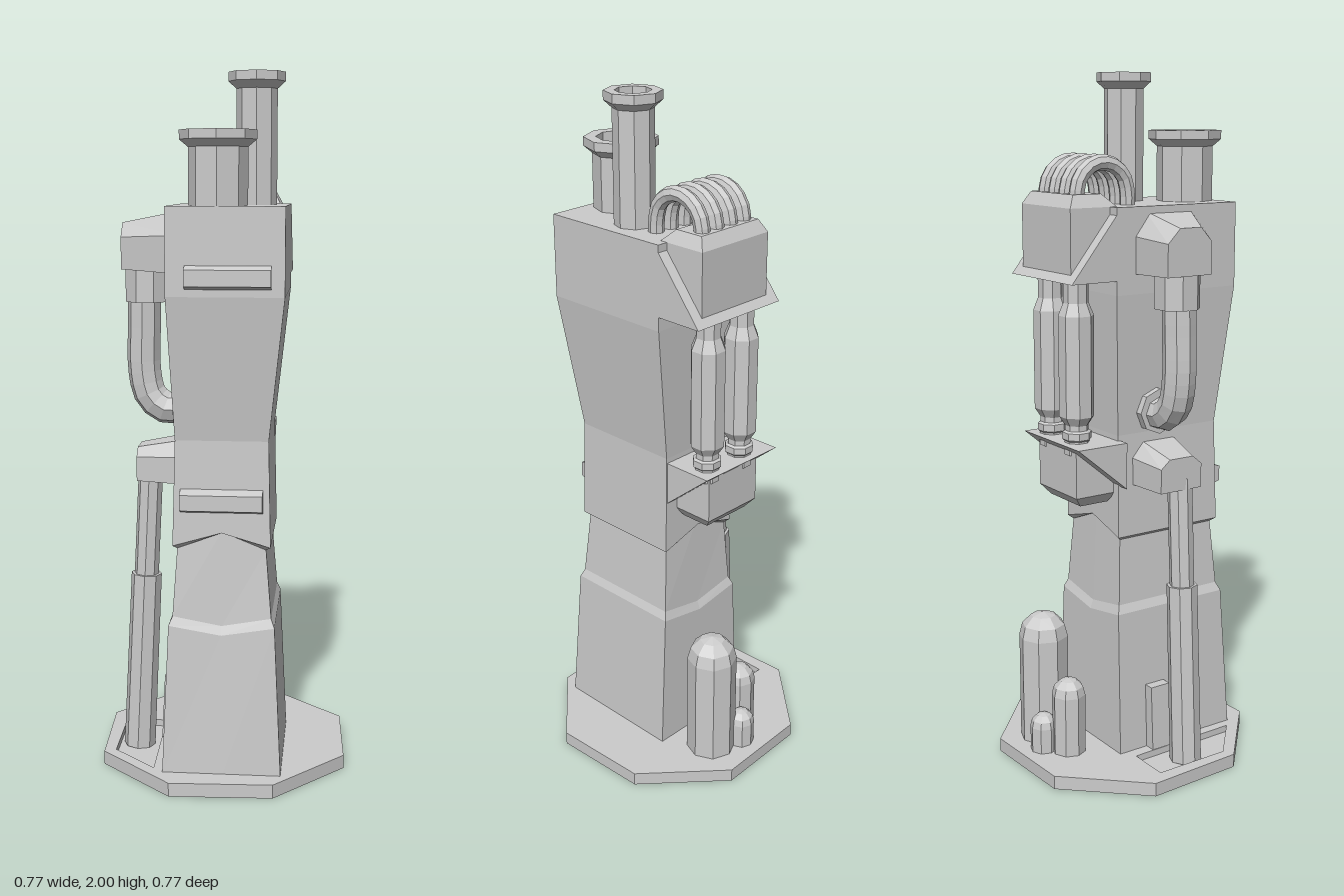
import * as THREE from 'three';

const mat = new THREE.MeshStandardMaterial({ color: 0xcccccc, flatShading: true });

function part(parent, name, geo, x = 0, y = 0, z = 0) {
  const m = new THREE.Mesh(geo, mat);
  m.name = name;
  m.position.set(x, y, z);
  parent.add(m);
  return m;
}

// Skin a stack of equal-length rings and cap both ends
function loft(rings) {
  const pos = [];
  const tri = (...p) => p.forEach((v) => pos.push(...v));
  const n = rings[0].length;
  for (let i = 0; i < rings.length - 1; i++) {
    for (let j = 0; j < n; j++) {
      const k = (j + 1) % n, a = rings[i], b = rings[i + 1];
      tri(a[j], a[k], b[k]);
      tri(a[j], b[k], b[j]);
    }
  }
  const first = rings[0], last = rings[rings.length - 1];
  for (let j = 1; j < n - 1; j++) {
    tri(first[0], first[j + 1], first[j]);
    tri(last[0], last[j], last[j + 1]);
  }
  const g = new THREE.BufferGeometry();
  g.setAttribute('position', new THREE.Float32BufferAttribute(pos, 3));
  g.computeVertexNormals();
  return g;
}

// Rectangular ring whose front and back midpoints can be raised or lowered
function ring([y, x0, x1, z0, z1, mid = 0]) {
  const xm = (x0 + x1) / 2;
  return [[x0, y, z1], [xm, y + mid, z1], [x1, y, z1], [x1, y, z0], [xm, y + mid, z0], [x0, y, z0]];
}
const stack = (rows) => loft(rows.map(ring));

// Constant profile of [z, y] points swept along x
const prism = (x0, x1, pts) => loft([x0, x1].map((x) => pts.map(([z, y]) => [x, y, z])));

// Eight-sided turned part from [radius, height] points, flats facing the axes
const turned = (pts) =>
  new THREE.LatheGeometry(pts.map(([r, y]) => new THREE.Vector2(r, y)), 8, Math.PI / 8);

function tube(points, r, segs) {
  const curve = new THREE.CatmullRomCurve3(points.map((p) => new THREE.Vector3(...p)));
  return new THREE.TubeGeometry(curve, segs, r, 8, false);
}

function rod(parent, name, a, b, ra, rb) {
  const p = new THREE.Vector3(...a), q = new THREE.Vector3(...b);
  const m = part(parent, name, new THREE.CylinderGeometry(rb, ra, p.distanceTo(q), 8));
  m.position.copy(p).add(q).multiplyScalar(0.5);
  m.quaternion.setFromUnitVectors(new THREE.Vector3(0, 1, 0), q.sub(p).normalize());
}

// Side housing that narrows outward; each end is [x, z0, z1, y0, yShoulder, yTop, zTop0, zTop1]
const housing = (...ends) =>
  loft(ends.map(([x, z0, z1, y0, ys, yt, t0, t1]) =>
    [[z0, y0], [z1, y0], [z1, ys], [t1, yt], [t0, yt], [z0, ys]].map(([z, y]) => [x, y, z])));

function addBase(root) {
  const octagon = () => new THREE.Shape(Array.from({ length: 8 }, (_, i) => {
    const a = (i * Math.PI) / 4;
    return new THREE.Vector2(0.383 * Math.cos(a), 0.383 * Math.sin(a));
  }));
  const slab = (shape, depth) =>
    new THREE.ExtrudeGeometry(shape, { depth, bevelEnabled: false }).rotateX(-Math.PI / 2);
  const upper = octagon();
  upper.holes.push(new THREE.Path([[-0.325, 0.03], [-0.21, -0.012], [-0.085, 0.31], [-0.245, 0.245]]
    .map(([x, z]) => new THREE.Vector2(x, -z))));
  part(root, 'baseSlab', slab(octagon(), 0.02));
  part(root, 'baseTopWithRecess', slab(upper, 0.02), 0, 0.02, 0);
}

function addBack(tower) {
  // Upper bracket and manifold box
  part(tower, 'upperBracket', prism(-0.138, 0.184, [[-0.1, 1.635], [-0.1, 1.44], [-0.258, 1.44]]));
  part(tower, 'manifoldBox', stack([
    [1.45, -0.104, 0.152, -0.24, -0.09],
    [1.64, -0.104, 0.152, -0.24, -0.09],
    [1.675, -0.086, 0.134, -0.22, -0.13],
  ]));
  // Arched hoses from box to roof
  for (let i = 0; i < 4; i++) {
    const x = -0.058 + i * 0.053;
    const pts = [[x, 1.61, -0.025]];
    for (let k = 0; k <= 6; k++) {
      const a = (k * Math.PI) / 6;
      pts.push([x, 1.675 + 0.083 * Math.sin(a), -0.108 + 0.083 * Math.cos(a)]);
    }
    pts.push([x, 1.63, -0.191]);
    part(tower, 'archedHose', tube(pts, 0.022, 14));
  }
  // Paired pistons
  for (const x of [-0.057, 0.077]) {
    part(tower, 'piston', turned([
      [0.036, 1.46], [0.036, 1.38], [0.05, 1.345], [0.05, 1.06], [0.034, 1.035],
      [0.034, 1.02], [0.042, 1.015], [0.042, 0.995], [0.036, 0.99], [0.036, 0.95],
    ].reverse()), x, 0, -0.195);
  }
  // Lower bracket and box
  part(tower, 'lowerBracket', prism(-0.155, 0.138, [[-0.09, 0.985], [-0.09, 0.85], [-0.252, 0.985]]));
  part(tower, 'lowerBox', stack([
    [0.8, -0.08, 0.08, -0.2, -0.11],
    [0.83, -0.1, 0.1, -0.225, -0.09],
    [0.965, -0.1, 0.1, -0.225, -0.09],
  ]));
}

function addSide(tower) {
  // Upper housing with its bent pipe
  part(tower, 'upperHousing', housing(
    [-0.11, -0.05, 0.21, 1.455, 1.56, 1.625, 0, 0.153],
    [-0.288, -0.05, 0.097, 1.46, 1.55, 1.59, -0.01, 0.06]));
  part(tower, 'pipeCollar', turned([[0, 1.365], [0.065, 1.365], [0.065, 1.47]]), -0.222, 0, 0.03);
  part(tower, 'bentPipe', tube([
    [-0.23, 1.42, 0.03], [-0.233, 1.3, 0.03], [-0.233, 1.16, 0.03], [-0.215, 1.09, 0.03],
    [-0.17, 1.055, 0.03], [-0.11, 1.06, 0.03],
  ], 0.048, 14));
  const flange = part(tower, 'pipeFlange', new THREE.CylinderGeometry(0.066, 0.066, 0.03, 8), -0.13, 1.06, 0.03);
  flange.rotation.z = Math.PI / 2;
  // Lower housing with its telescopic strut
  part(tower, 'lowerHousing', housing(
    [-0.1, -0.05, 0.14, 0.85, 0.93, 0.975, -0.01, 0.1],
    [-0.25, -0.04, 0.1, 0.85, 0.92, 0.945, -0.01, 0.07]));
  rod(tower, 'strutUpper', [-0.234, 0.5, 0.05], [-0.215, 0.88, 0.05], 0.036, 0.036);
  rod(tower, 'strutLower', [-0.257, 0.022, 0.05], [-0.231, 0.56, 0.05], 0.047, 0.045);
  // Small cabinet at the foot of the wall
  part(tower, 'footCabinet', stack([
    [0.03, -0.19, -0.13, -0.02, 0.045],
    [0.235, -0.18, -0.13, -0.02, 0.045],
  ]));
}

export function createModel() {
  const root = new THREE.Group();
  root.name = 'industrialTower';
  addBase(root);

  // Everything fixed to the tower shares its turn
  const tower = new THREE.Group();
  tower.name = 'tower';
  tower.rotation.y = THREE.MathUtils.degToRad(20);
  root.add(tower);

  // Main body, with a recessed band between two chevron seams
  part(tower, 'body', stack([
    [0.03, -0.158, 0.181, -0.115, 0.289],
    [0.47, -0.14, 0.16, -0.11, 0.265, -0.025],
    [0.495, -0.129, 0.15, -0.1, 0.254, -0.025],
    [0.69, -0.116, 0.134, -0.089, 0.238, 0.05],
    [0.7, -0.128, 0.147, -0.101, 0.252, 0.04],
    [1.0, -0.12, 0.14, -0.098, 0.245],
    [1.4, -0.138, 0.184, -0.113, 0.298],
    [1.64, -0.138, 0.184, -0.113, 0.298],
  ]));

  // Front bars
  for (const [x0, x1, y, zb] of [[-0.085, 0.148, 1.452, 0.28], [-0.105, 0.125, 0.83, 0.235]]) {
    const zf = zb + 0.046;
    part(tower, 'frontBar', prism(x0, x1, [[zf, y - 0.022], [zb, y - 0.038], [zb, y + 0.038], [zf, y + 0.022]]));
  }

  addBack(tower);
  addSide(tower);

  // Hollow chimneys with flanged rims: shaft, rim, bore, top height
  for (const [x, z, rs, rf, rh, top] of [
    [0.072, 0.203, 0.081, 0.105, 0.07, 1.84],
    [0.11, 0.031, 0.057, 0.079, 0.05, 2],
  ]) {
    part(root, 'chimney', turned([
      [rs, 1.62], [rs, top - 0.045], [rf, top - 0.025], [rf, top], [rh, top], [rh, top - 0.12], [0, top - 0.12],
    ]), x, 0, z);
  }

  // Domed tanks on the base
  for (const [x, z, r, h] of [[0, -0.245, 0.074, 0.437], [-0.12, -0.195, 0.05, 0.27], [-0.093, -0.266, 0.04, 0.155]]) {
    part(root, 'domedTank', turned([
      [r, 0.03], [r, h - r], [r * 0.87, h - r * 0.5], [r * 0.5, h - r * 0.13], [0, h],
    ]), x, 0, z);
  }
  return root;
}
